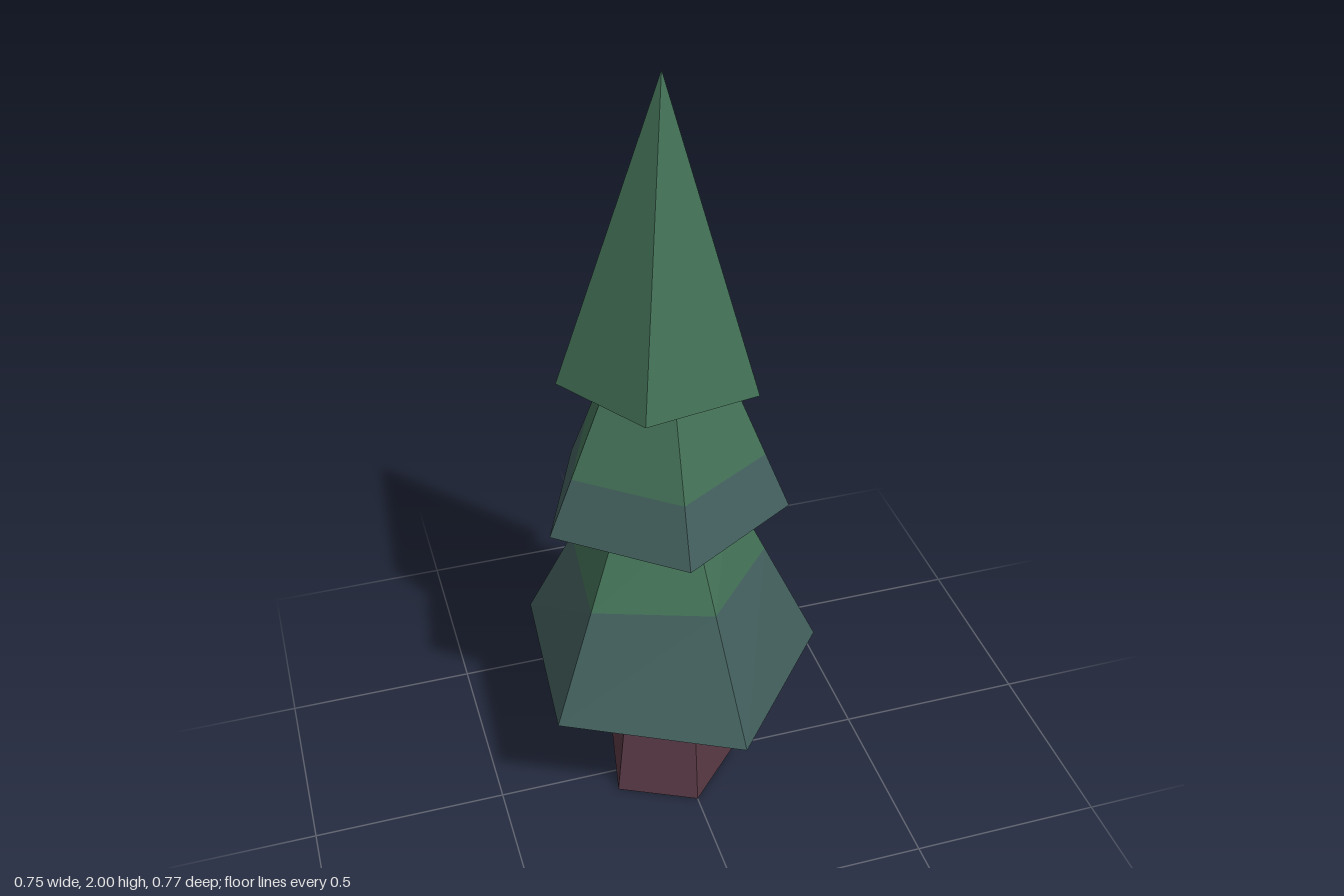
import * as THREE from 'three';

const mat = (name, color) => {
  const m = new THREE.MeshStandardMaterial({ color, flatShading: true });
  m.name = name;
  return m;
};

// Faceted shell through matching rings of [x, y, z], listed from bottom to top
function loft(rings, { bottom = false, top = false } = {}) {
  const pos = [];
  const tri = (...pts) => pts.forEach((p) => pos.push(...p));
  const n = rings[0].length;
  for (let r = 0; r < rings.length - 1; r++) {
    const lo = rings[r], up = rings[r + 1];
    for (let i = 0; i < n; i++) {
      const j = (i + 1) % n;
      if (up.length === 1) tri(lo[i], up[0], lo[j]);
      else {
        tri(lo[i], up[i], lo[j]);
        tri(lo[j], up[i], up[j]);
      }
    }
  }
  const last = rings[rings.length - 1];
  for (let i = 1; i < n - 1; i++) {
    if (bottom) tri(rings[0][0], rings[0][i], rings[0][i + 1]);
    if (top) tri(last[0], last[i + 1], last[i]);
  }
  const g = new THREE.BufferGeometry();
  g.setAttribute('position', new THREE.Float32BufferAttribute(pos, 3));
  g.computeVertexNormals();
  return g;
}

// Ring where the edges between two rings reach height y
const ringAt = (lo, up, y) => lo.map((p, i) => {
  const t = (y - p[1]) / (up[i][1] - p[1]);
  return p.map((v, k) => v + (up[i][k] - v) * t);
});

const level = (y, pts) => pts.map(([x, z]) => [x, y, z]);

export function createModel() {
  const tree = new THREE.Group();
  tree.name = 'pineTree';
  const bark = mat('bark', 0x5a3a46);
  const green = mat('needleGreen', 0x437056);
  const teal = mat('needleTeal', 0x425f5d);
  const add = (parent, name, geometry, material) => {
    const m = new THREE.Mesh(geometry, material);
    m.name = name;
    parent.add(m);
  };

  // Tapered five-sided trunk
  add(tree, 'trunk', loft([
    level(0, [[-0.155, -0.145], [0.03, -0.185], [0.145, 0.015], [0, 0.165], [-0.195, 0.07]]),
    level(0.42, [[-0.12, -0.105], [0.02, -0.14], [0.1, 0.01], [0, 0.12], [-0.15, 0.05]]),
  ], { bottom: true, top: true }), bark);

  // Two lower tiers: teal skirt below, green band above
  const tiers = [
    {
      name: 'lowerTier', band: 0.688,
      base: [[-0.34, 0.41, -0.275], [0.115, 0.4, -0.385], [0.372, 0.37, 0.012], [0.058, 0.373, 0.381], [-0.374, 0.4, 0.189]],
      top: level(0.9, [[-0.155, -0.127], [0.01, -0.137], [0.127, 0], [0, 0.12], [-0.184, 0.078]]),
    },
    {
      name: 'middleTier', band: 1.035,
      base: level(0.886, [[-0.205, -0.285], [0.163, -0.26], [0.25, 0.097], [-0.058, 0.279], [-0.342, 0.053]]),
      top: level(1.275, [[-0.12, -0.132], [0.06, -0.132], [0.102, 0.035], [-0.05, 0.122], [-0.181, 0.02]]),
    },
  ];
  for (const { name, band, base, top } of tiers) {
    const g = new THREE.Group();
    g.name = name;
    const mid = ringAt(base, top, band);
    add(g, name + 'Skirt', loft([base, mid], { bottom: true }), teal);
    add(g, name + 'Band', loft([mid, top], { top: true }), green);
    tree.add(g);
  }

  // Pointed crown
  add(tree, 'crown', loft([
    [[-0.287, 1.248, -0.052], [-0.087, 1.25, -0.245], [0.188, 1.26, -0.113], [0.142, 1.266, 0.16], [-0.142, 1.263, 0.206]],
    [[-0.035, 2, -0.018]],
  ], { bottom: true }), green);

  return tree;
}
